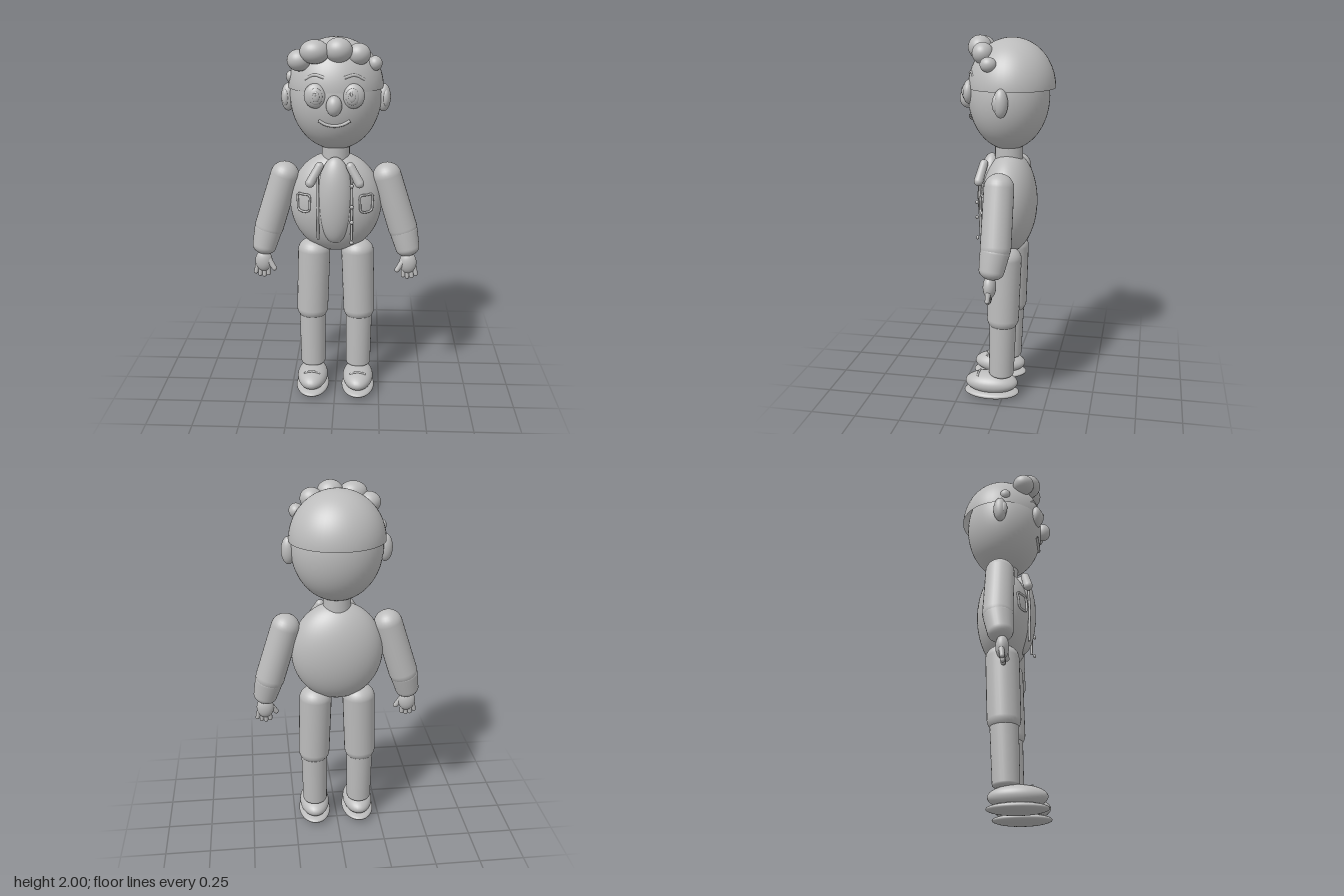
import * as THREE from 'three';

const grey = new THREE.MeshStandardMaterial({ color: 0xbcbcbc });
grey.name = 'grey';
const greyOpen = grey;
greyOpen.side = THREE.DoubleSide;

const V = (p) => new THREE.Vector3(...p);

export function createModel() {
  const model = new THREE.Group();
  model.name = 'cartoonFigure';

  const add = (parent, name, geometry) => {
    const mesh = new THREE.Mesh(geometry, grey);
    mesh.name = name;
    parent.add(mesh);
    return mesh;
  };
  const group = (name) => {
    const g = new THREE.Group();
    g.name = name;
    model.add(g);
    return g;
  };
  // Ellipsoid from centre and three radii
  const blob = (parent, name, centre, radii, seg = 32) => {
    const mesh = add(parent, name, new THREE.SphereGeometry(1, seg, Math.ceil(seg * 0.75)));
    mesh.position.set(...centre);
    mesh.scale.set(...radii);
    return mesh;
  };
  // Tapered limb with domed ends from a to b
  const limb = (parent, name, a, b, ra, rb, dome = 1) => {
    const start = V(a), dir = V(b).sub(start), length = dir.length(), profile = [];
    for (let i = 0; i <= 8; i++) {
      const t = (i / 8) * Math.PI / 2;
      profile.push(new THREE.Vector2(ra * Math.sin(t), -ra * dome * Math.cos(t)));
    }
    for (let i = 0; i <= 8; i++) {
      const t = (i / 8) * Math.PI / 2;
      profile.push(new THREE.Vector2(rb * Math.cos(t), length + rb * dome * Math.sin(t)));
    }
    const mesh = add(parent, name, new THREE.LatheGeometry(profile, 28));
    mesh.position.copy(start);
    mesh.quaternion.setFromUnitVectors(new THREE.Vector3(0, 1, 0), dir.normalize());
    return mesh;
  };
  const tube = (parent, name, points, radius, closed = false) =>
    add(parent, name, new THREE.TubeGeometry(
      new THREE.CatmullRomCurve3(points.map(V), closed), 32, radius, 8, closed));

  // Front surface depth of an ellipsoid
  const surface = (c, r) => (x, y) =>
    c[2] + r[2] * Math.sqrt(Math.max(0, 1 - ((x - c[0]) / r[0]) ** 2 - ((y - c[1]) / r[1]) ** 2));
  const torsoC = [0, 1.11, -0.012], torsoR = [0.25, 0.28, 0.15];
  const headC = [0, 1.69, -0.01], headR = [0.24, 0.285, 0.215];
  const torsoZ = surface(torsoC, torsoR), headZ = surface(headC, headR);

  // Head, neck and hair cap
  const head = group('head');
  blob(head, 'skull', headC, headR, 48);
  const cap = add(head, 'hairCap', new THREE.SphereGeometry(1, 48, 20, 0, Math.PI * 2, 0, Math.PI / 2));
  cap.position.set(0, 1.733, -0.025);
  cap.scale.set(0.25, 0.257, 0.23);
  const neck = add(head, 'neck', new THREE.CylinderGeometry(0.075, 0.075, 0.12, 28));
  neck.position.set(0, 1.385, -0.01);

  // Fringe curls
  [
    [-0.18, 1.885, 0.115, 0.062, 0.055, 0.06],
    [-0.10, 1.93, 0.145, 0.075, 0.06, 0.062],
    [0.02, 1.938, 0.14, 0.07, 0.062, 0.062],
    [0.12, 1.915, 0.105, 0.06, 0.055, 0.055],
    [0.203, 1.865, 0.06, 0.037, 0.038, 0.042],
    [-0.235, 1.79, 0.015, 0.022, 0.03, 0.028],
  ].forEach((c) => blob(head, 'hairCurl', c.slice(0, 3), c.slice(3)));

  // Nose and smile
  blob(head, 'nose', [0, 1.672, 0.214], [0.04, 0.052, 0.042]);
  tube(head, 'mouth', [[-0.08, 1.592], [-0.045, 1.573], [0, 1.565], [0.045, 1.573], [0.08, 1.592]]
    .map(([x, y]) => [x, y, headZ(x, y) + 0.004]), 0.008);

  // Torso and shirt front
  const torso = group('torso');
  blob(torso, 'jacketBody', torsoC, torsoR, 48);
  blob(torso, 'shirtFront', [0, 1.14, 0.085], [0.098, 0.24, 0.078], 40);
  [1.24, 1.125, 1.04, 0.925].forEach((y) =>
    blob(torso, 'button', [0.09, y, y < 1 ? 0.148 : 0.15], [0.011, 0.011, 0.008], 12));

  for (const s of [1, -1]) {
    const side = s > 0 ? 'left' : 'right';

    // Ear
    blob(head, side + 'Ear', [s * 0.25, 1.68, -0.012], [0.038, 0.073, 0.037]);
    blob(head, side + 'InnerEar', [s * 0.262, 1.68, 0.008], [0.02, 0.045, 0.022], 20);

    // Eye with nested iris, pupil and highlight
    blob(head, side + 'Eye', [s * 0.095, 1.717, 0.183], [0.058, 0.063, 0.032]);
    blob(head, side + 'Iris', [s * 0.092, 1.717, 0.206], [0.034, 0.042, 0.014], 24);
    blob(head, side + 'Pupil', [s * 0.091, 1.717, 0.215], [0.019, 0.026, 0.009], 20);
    blob(head, side + 'EyeHighlight', [s * 0.091 - 0.004, 1.728, 0.222], [0.007, 0.009, 0.004], 12);

    // Eyebrow
    tube(head, side + 'Eyebrow', [[0.05, 1.808], [0.1, 1.818], [0.147, 1.795]]
      .map(([x, y]) => [s * x, y, headZ(x, y) + 0.006]), 0.009);

    // Collar and jacket edge
    const collar = limb(torso, side + 'Collar', [s * 0.082, 1.335, 0.112], [s * 0.127, 1.255, 0.13], 0.023, 0.025);
    collar.scale.y = 1.05;
    tube(torso, side + 'JacketEdge', [1.32, 1.22, 1.11, 1.02, 0.935]
      .map((y) => [s * 0.09, y, Math.max(torsoZ(0.09, y) + 0.008, 0.132)]), 0.007);

    // Pocket outline hugging the jacket
    const pocket = [[-1, 1], [0, 1.05], [1, 1], [1.05, 0], [0.9, -0.8], [0, -1], [-0.9, -0.8], [-1.05, 0]];
    tube(torso, side + 'Pocket', pocket.map(([u, v]) => {
      const x = 0.167 + u * 0.031, y = 1.13 + v * 0.046;
      return [s * x, y, torsoZ(x, y) + 0.008];
    }), 0.006, true);

    // Arm
    const arm = group(side + 'Arm');
    limb(arm, 'upperSleeve', [s * 0.277, 1.257, -0.008], [s * 0.368, 0.965, -0.008], 0.078, 0.08, 0.95);
    limb(arm, 'forearm', [s * 0.376, 0.94, -0.005], [s * 0.398, 0.85, 0.008], 0.077, 0.066, 0.7);

    // Hand
    const hand = group(side + 'Hand');
    blob(hand, 'palm', [s * 0.402, 0.765, 0.018], [0.048, 0.062, 0.034]);
    [[0.437, 0.447, 0.7], [0.418, 0.424, 0.686], [0.398, 0.4, 0.682], [0.379, 0.377, 0.69]].forEach(([x0, x1, y]) =>
      limb(hand, 'finger', [s * x0, 0.74, 0.018], [s * x1, y, 0.022], 0.014, 0.012));
    limb(hand, 'thumb', [s * 0.372, 0.772, 0.026], [s * 0.342, 0.727, 0.034], 0.017, 0.014);

    // Leg
    const leg = group(side + 'Leg');
    limb(leg, 'thigh', [s * 0.121, 0.825, -0.01], [s * 0.132, 0.48, 0], 0.09, 0.088, 0.8);
    limb(leg, 'shin', [s * 0.132, 0.48, 0], [s * 0.13, 0.15, 0.01], 0.075, 0.07, 0.4);

    // Shoe
    const shoe = group(side + 'Shoe');
    blob(shoe, 'shoeUpper', [s * 0.13, 0.085, 0.067], [0.086, 0.06, 0.15]);
    blob(shoe, 'sole', [s * 0.13, 0.028, 0.067], [0.093, 0.028, 0.157]);
    tube(shoe, 'lace', [[-0.045, 0.127], [0, 0.139], [0.045, 0.127]]
      .map(([x, y]) => [s * 0.13 + x, y, 0.14]), 0.006);
  }
  return model;
}
